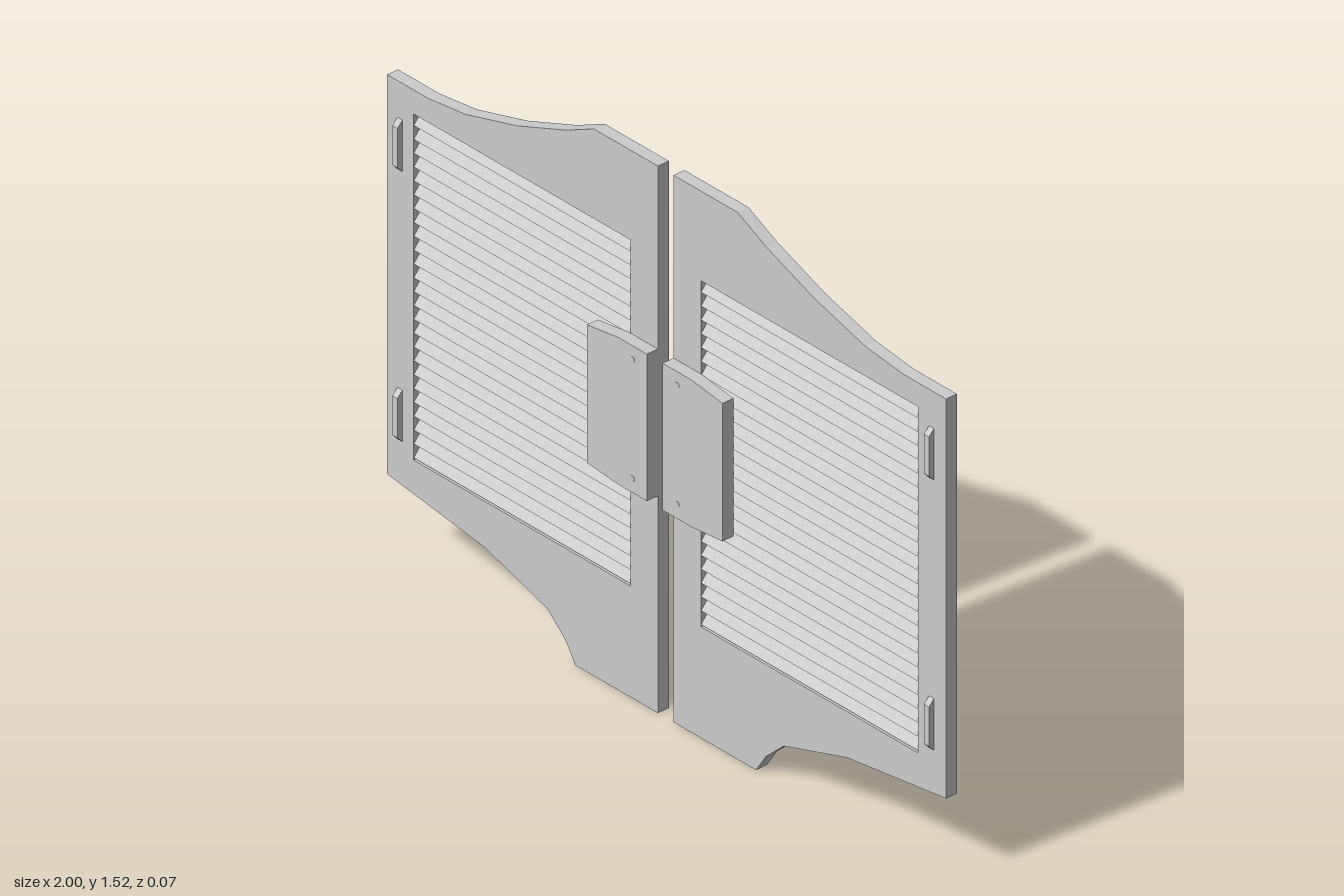
import * as THREE from 'three';

const paint = new THREE.MeshStandardMaterial({ color: 0xcccccc, flatShading: true });
paint.name = 'grey paint';

const DEPTH = 0.035;
const LEAF = [[0.028, 1.525], [0.257, 1.525], [0.358, 1.476], [0.53, 1.41], [0.716, 1.358], [0.85, 1.342],
  [1, 1.342], [1, 0.228], [0.65, 0.182], [0.423, 0.112], [0.358, 0.053], [0.323, 0], [0.028, 0]];
const PLATE = [[0.028, 1.015], [0.13, 1.015], [0.2425, 1.0], [0.2425, 0.615], [0.13, 0.605], [0.028, 0.605]];
const OPEN = { x0: 0.126, x1: 0.902, y0: 0.31, y1: 1.275 };
const SLATS = 25;

// mirrored x, with the meeting gap slightly off centre
const mx = (side, x) => (x === 1 ? side : side * x - 0.003);

function outline(points, side) {
  return points.map(([x, y]) => new THREE.Vector2(mx(side, x), y));
}

function add(group, name, geometry, x = 0, y = 0, z = 0) {
  const mesh = new THREE.Mesh(geometry, paint);
  mesh.name = name;
  mesh.position.set(x, y, z);
  group.add(mesh);
  return mesh;
}

function extrude(shape, depth) {
  return new THREE.ExtrudeGeometry(shape, { depth, bevelEnabled: false });
}

function door(side) {
  const g = new THREE.Group();
  g.name = side > 0 ? 'leftDoor' : 'rightDoor';

  // frame with a rectangular louvre opening
  const leaf = new THREE.Shape(outline(LEAF, side));
  const { x0, x1, y0, y1 } = OPEN;
  leaf.holes.push(new THREE.Path(outline([[x0, y0], [x1, y0], [x1, y1], [x0, y1]], side)));
  add(g, 'frame', extrude(leaf, DEPTH), 0, 0, -DEPTH);

  // louvre slats, front edge tilted down
  const pitch = (y1 - y0) / SLATS;
  const slat = new THREE.BoxGeometry(x1 - x0, 0.009, 0.042);
  for (let i = 0; i < SLATS; i++) {
    const m = add(g, 'slat', slat, mx(side, (x0 + x1) / 2), y0 + pitch * (i + 0.5), -DEPTH / 2);
    m.rotation.x = 0.87;
  }

  // push plate and its screws
  add(g, 'pushPlate', extrude(new THREE.Shape(outline(PLATE, side)), DEPTH));
  const screw = new THREE.CylinderGeometry(0.008, 0.008, 0.004, 12).rotateX(Math.PI / 2);
  for (const y of [0.645, 0.977]) add(g, 'screw', screw, mx(side, 0.08), y, DEPTH - 0.001);

  // tapered hinge bars near the outer edge
  const bar = new THREE.Shape([[0, -0.072], [0.016, -0.055], [0.016, 0.055], [0, 0.072]]
    .map(([z, y]) => new THREE.Vector2(-z, y)));
  const barGeometry = extrude(bar, 0.018).translate(0, 0, -0.009).rotateY(Math.PI / 2);
  for (const y of [0.415, 1.168]) add(g, 'hingeBar', barGeometry, mx(side, 0.951), y, 0);
  return g;
}

export function createModel() {
  const model = new THREE.Group();
  model.name = 'swingDoors';
  model.add(door(1), door(-1));
  return model;
}
